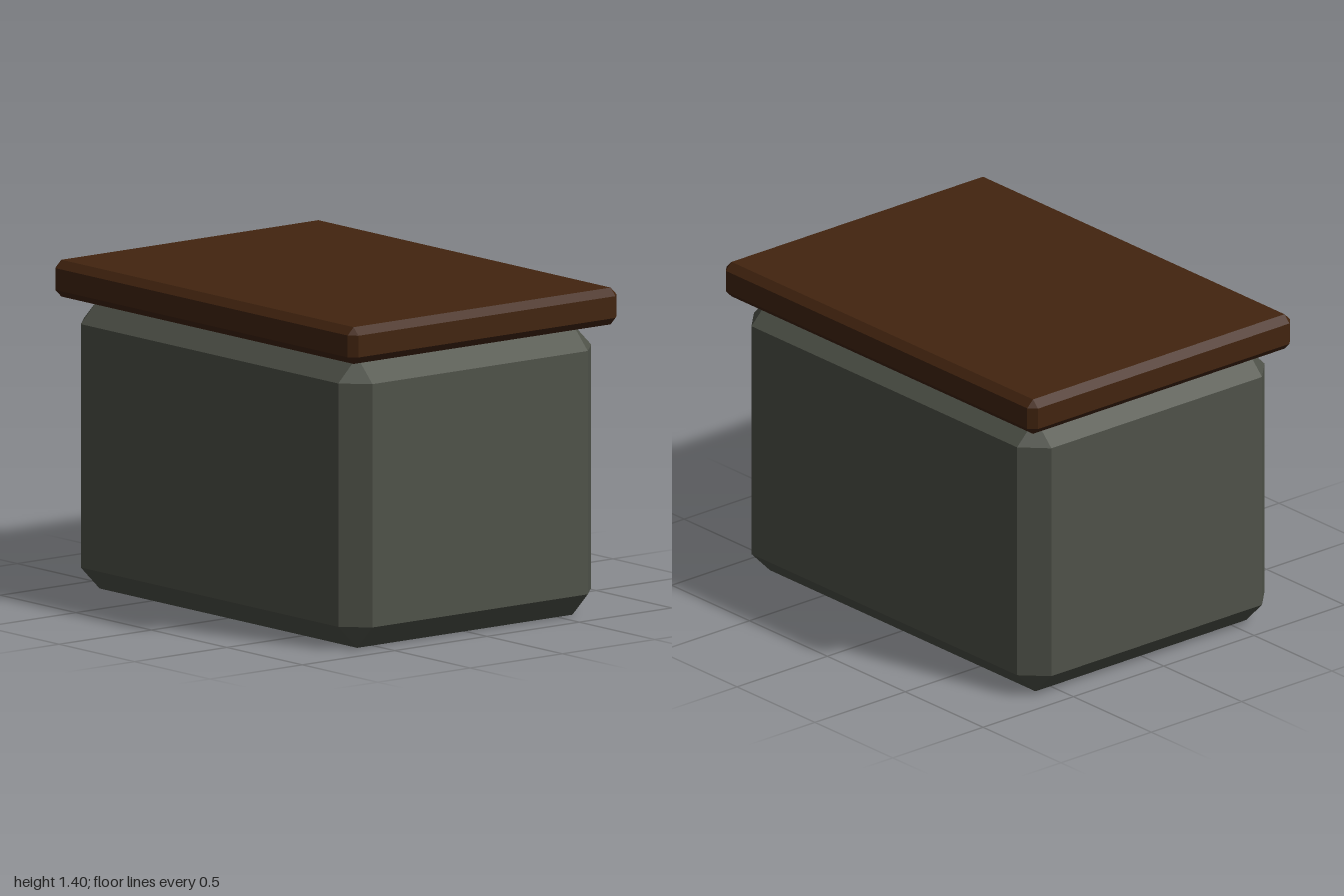
import * as THREE from 'three';
import { ConvexGeometry } from 'three/addons/geometries/ConvexGeometry.js';

// Box with every edge cut at 45 degrees and a triangle at each corner
function chamferedBox(hx, hy, hz, c) {
  const points = [];
  for (const sx of [-1, 1]) for (const sy of [-1, 1]) for (const sz of [-1, 1]) {
    points.push(
      new THREE.Vector3(sx * hx, sy * (hy - c), sz * (hz - c)),
      new THREE.Vector3(sx * (hx - c), sy * hy, sz * (hz - c)),
      new THREE.Vector3(sx * (hx - c), sy * (hy - c), sz * hz)
    );
  }
  return new ConvexGeometry(points);
}

export function createModel() {
  const group = new THREE.Group();
  const stone = new THREE.MeshStandardMaterial({ name: 'greyStone', color: 0x4f5249, flatShading: true });
  const wood = new THREE.MeshStandardMaterial({ name: 'darkWood', color: 0x42240f, flatShading: true });

  const add = (name, material, hx, hz, y0, y1, chamfer) => {
    const mesh = new THREE.Mesh(chamferedBox(hx, (y1 - y0) / 2, hz, chamfer), material);
    mesh.name = name;
    mesh.position.y = (y0 + y1) / 2;
    group.add(mesh);
  };

  // Heavy base block and the overhanging top slab
  add('base', stone, 0.955, 0.685, 0, 1.243, 0.102);
  add('topSlab', wood, 1, 0.728, 1.243, 1.4, 0.032);
  return group;
}
